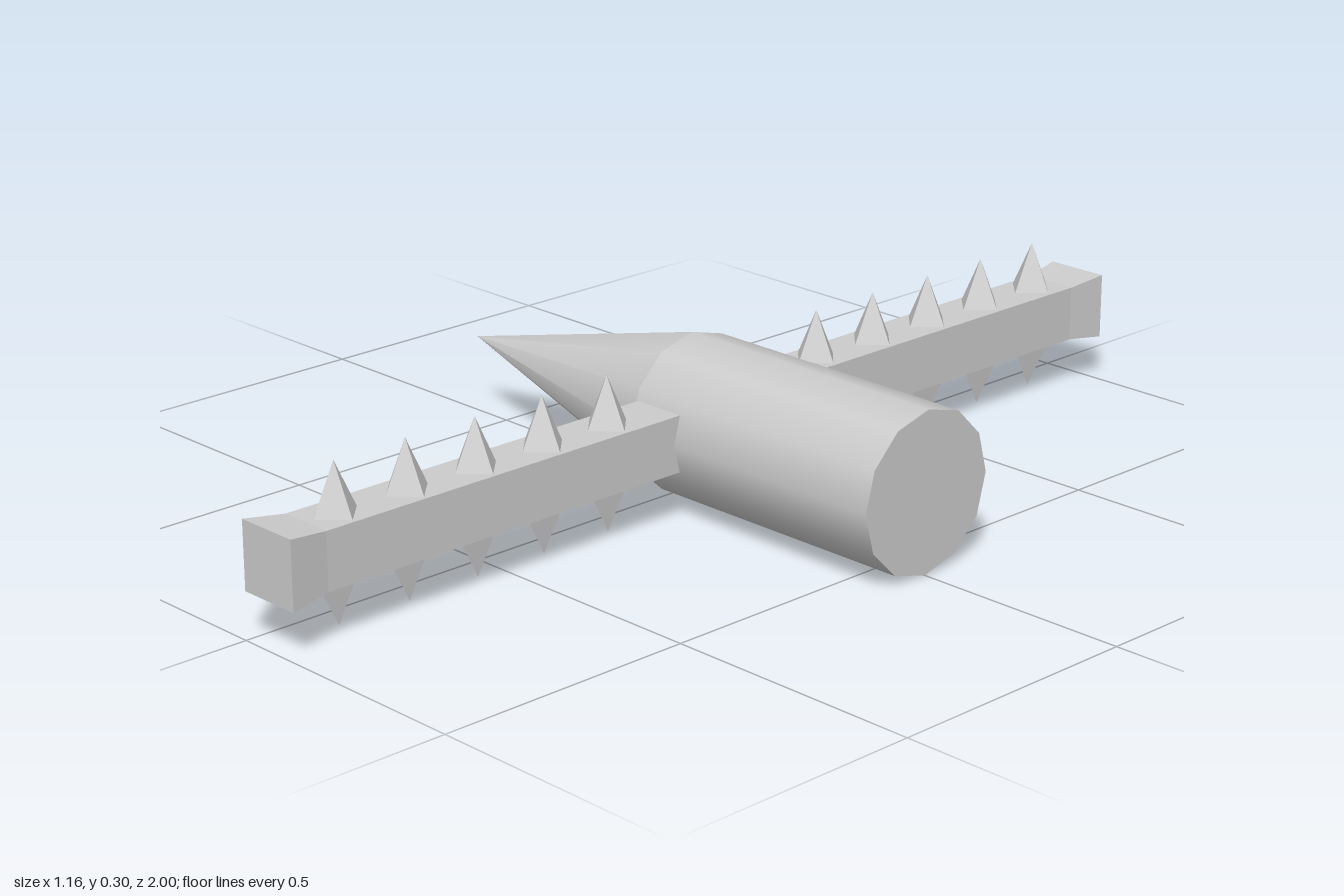
import * as THREE from 'three';

export function createModel() {
  const model = new THREE.Group();
  const smooth = new THREE.MeshStandardMaterial({ color: 0xcccccc });
  const flat = new THREE.MeshStandardMaterial({ color: 0xcccccc, flatShading: true });

  const axisY = 0.15, radius = 0.15, sides = 12;
  const armX = 0.067, armHalf = 0.053, flareHalf = 0.063;

  function add(parent, name, geometry, material, x, y, z) {
    const mesh = new THREE.Mesh(geometry, material);
    mesh.name = name;
    mesh.position.set(x, y, z);
    parent.add(mesh);
    return mesh;
  }

  // Body: a smooth cylinder along x with a long pointed nose
  const barrel = new THREE.CylinderGeometry(radius, radius, 0.57, sides).rotateZ(Math.PI / 2);
  add(model, 'barrel', barrel, smooth, 0.295, axisY, 0);
  const nose = new THREE.ConeGeometry(radius, 0.59, sides, 1, true).rotateZ(Math.PI / 2);
  add(model, 'nose', nose, smooth, -0.285, axisY, 0);

  // Square arm, running outward along +z
  const armGeometry = new THREE.BoxGeometry(armHalf * 2, armHalf * 2, 0.82).translate(0, 0, 0.51);

  // Flared arm tip: a four-sided frustum turned square to the axes
  const tipGeometry = new THREE.CylinderGeometry(
    flareHalf * Math.SQRT2, armHalf * Math.SQRT2, 0.08, 4)
    .rotateY(Math.PI / 4).rotateX(Math.PI / 2).translate(0, 0, 0.96);

  // Pyramid spike with its corners along x and z
  const spikeHeight = 0.092;
  const spikeGeometry = new THREE.ConeGeometry(0.045, spikeHeight, 4);

  for (const side of [1, -1]) {
    const arm = new THREE.Group();
    arm.name = side > 0 ? 'frontArm' : 'backArm';
    arm.position.set(armX, axisY + 0.001, 0);
    if (side < 0) arm.rotation.y = Math.PI;
    add(arm, 'armBar', armGeometry, flat, 0, 0, 0);
    add(arm, 'armTip', tipGeometry, flat, 0, 0, 0);

    // Five pairs of spikes, above and below
    for (let i = 0; i < 5; i++) {
      const z = 0.26 + i * 0.15;
      const y = armHalf + spikeHeight / 2;
      add(arm, 'upperSpike', spikeGeometry, flat, 0, y, z);
      add(arm, 'lowerSpike', spikeGeometry, flat, 0, -y, z).rotation.x = Math.PI;
    }
    model.add(arm);
  }
  return model;
}
